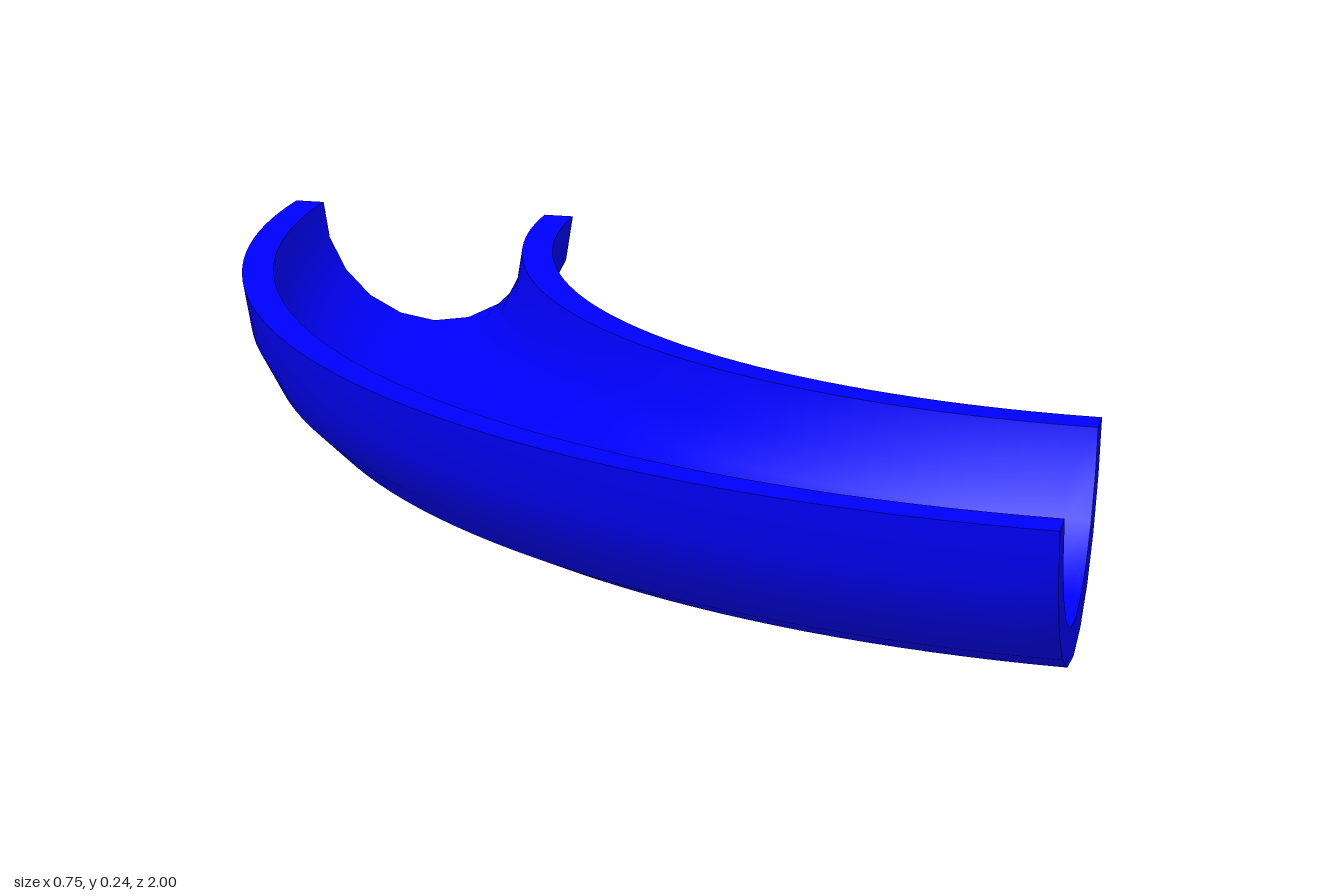
import * as THREE from 'three';
import { toCreasedNormals } from 'three/addons/utils/BufferGeometryUtils.js';

const OUTER = 0.236;        // outer radius of the half pipe
const INNER = OUTER * 0.8;  // inner radius
const BEND = 1.1785;        // radius of the bend's centre line
const CENTRE_X = 1.041;     // x of the bend's centre
const SIDES = 10;

// Half-ring cross-section, open at the top
function halfRing() {
  const points = [];
  for (let i = 0; i <= SIDES; i++) {
    const a = Math.PI * (1 + i / SIDES);
    points.push(new THREE.Vector2(BEND + OUTER * Math.cos(a), OUTER + OUTER * Math.sin(a)));
  }
  for (let i = SIDES; i >= 0; i--) {
    const a = Math.PI * (1 + i / SIDES);
    points.push(new THREE.Vector2(BEND + INNER * Math.cos(a), OUTER + INNER * Math.sin(a)));
  }
  return new THREE.Shape(points);
}

export function createModel() {
  const group = new THREE.Group();
  group.name = 'curvedGutter';

  // Straight channel, then bent through a quarter circle
  const geometry = new THREE.ExtrudeGeometry(halfRing(), { depth: 1, steps: 48, bevelEnabled: false });
  const pos = geometry.attributes.position;
  for (let i = 0; i < pos.count; i++) {
    const r = pos.getX(i);
    const a = (pos.getZ(i) - 0.5) * Math.PI / 2;
    pos.setXYZ(i, CENTRE_X - r * Math.cos(a), pos.getY(i), -r * Math.sin(a));
  }

  const channel = new THREE.Mesh(
    toCreasedNormals(geometry, Math.PI / 4),
    new THREE.MeshStandardMaterial({ color: 0x0000ff })
  );
  channel.name = 'channel';
  group.add(channel);
  return group;
}
